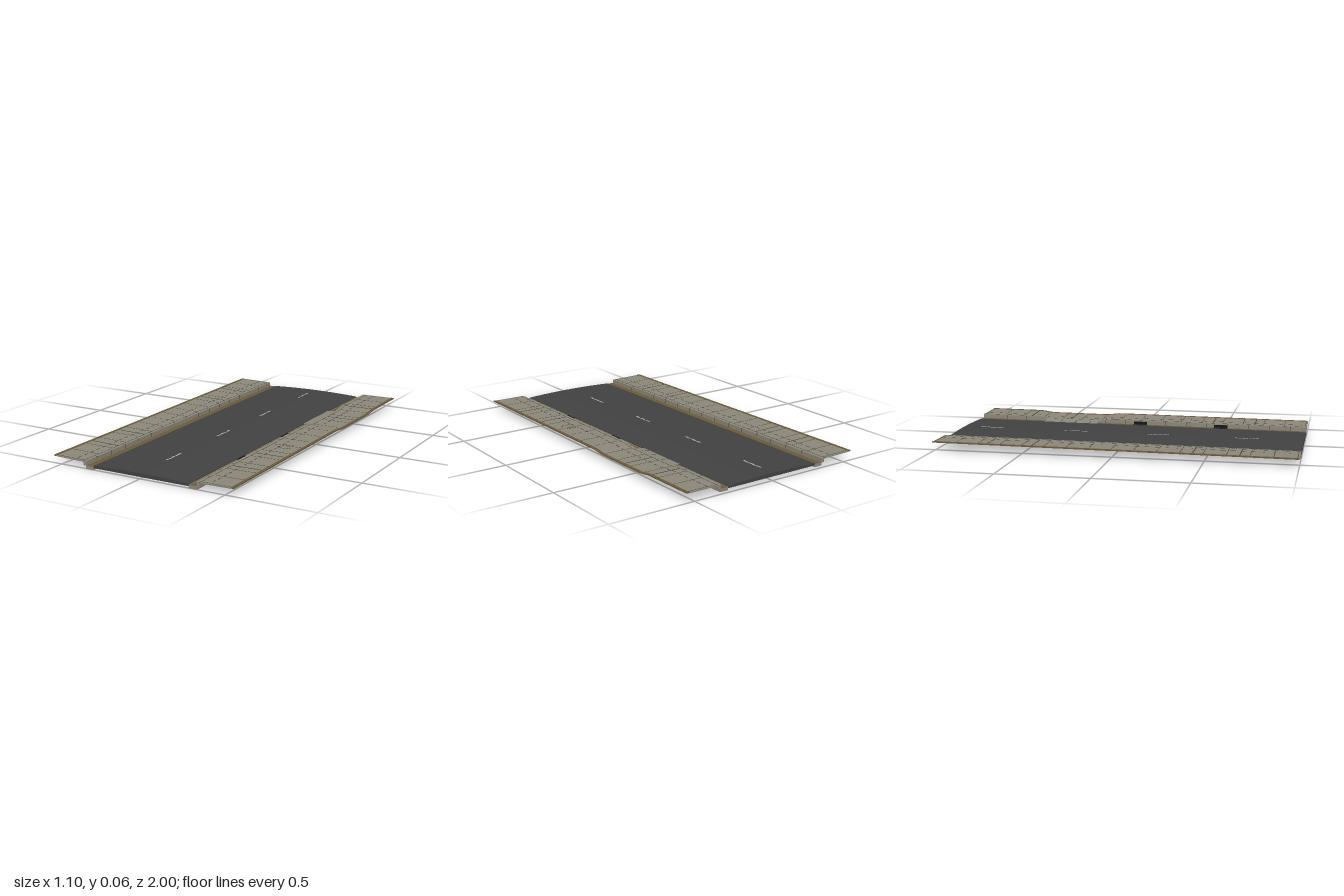
import * as THREE from 'three';

const mat = (name, color) => Object.assign(new THREE.MeshStandardMaterial({ color }), { name });

export function createModel() {
  const model = new THREE.Group();
  model.name = 'streetSection';
  const asphalt = mat('asphalt', 0x414142);
  const concrete = mat('concrete', 0x8b8679);
  const earth = mat('brownDirt', 0x6a5a3a);
  const joint = mat('jointGrey', 0x45423a);
  const iron = mat('grateBlack', 0x161616);
  const paint = mat('lanePaint', 0xaaa9a4);

  const CUT0 = -0.59, CUT1 = -0.26;   // driveway opening along z
  const smooth = THREE.MathUtils.smoothstep;
  const dip = z => 0.01 * smooth(z, CUT0 - 0.1, CUT0) * (1 - smooth(z, CUT1, CUT1 + 0.1));

  // Long grade, sidewalk cross fall, driveway dip and road crown
  function rise(x, y, z) {
    const a = Math.abs(x);
    let h = 0.006 * (1 - z);
    if (a > 0.355) h += 0.012 * (a - 0.355);
    if (x > 0.335 && y > 0.025) h -= dip(z);
    if (a < 0.292 && y > 0.015) h += 0.008 * (1 - (a / 0.292) ** 2);
    return h;
  }

  // Box between limits, bent to follow the street surface
  function block(parent, name, material, x0, x1, y0, y1, z0, z1, warp = rise) {
    const nx = Math.max(1, Math.ceil((x1 - x0) / 0.05));
    const nz = Math.max(1, Math.ceil((z1 - z0) / 0.025));
    const g = new THREE.BoxGeometry(x1 - x0, y1 - y0, z1 - z0, nx, 1, nz);
    g.translate((x0 + x1) / 2, (y0 + y1) / 2, (z0 + z1) / 2);
    const p = g.attributes.position;
    for (let i = 0; i < p.count; i++) {
      p.setY(i, p.getY(i) + warp(p.getX(i), p.getY(i), p.getZ(i)));
    }
    g.computeVertexNormals();
    const m = new THREE.Mesh(g, material);
    m.name = name;
    parent.add(m);
    return m;
  }

  // Same block on the side s (+1 or -1), given by distance from the centre line
  const sided = (parent, s, name, material, a0, a1, ...rest) =>
    block(parent, name, material, s > 0 ? a0 : -a1, s > 0 ? a1 : -a0, ...rest);

  // Crowned roadway
  block(model, 'roadway', asphalt, -0.292, 0.292, 0.01, 0.022, -1, 1);

  // Broken centre line made of worn dabs of paint
  const lane = new THREE.Group();
  lane.name = 'centreLine';
  model.add(lane);
  for (const z0 of [-0.9, -0.39, 0.1, 0.61]) {
    for (let i = 0; i < 7; i++) {
      const off = (i % 3 - 1) * 0.0015;
      block(lane, 'lanePaintDab', paint, -0.009 + off, 0.001 + off, 0.0218, 0.0226,
        z0 + i * 0.02, z0 + i * 0.02 + (i % 3 === 1 ? 0.014 : 0.018));
    }
  }

  for (const s of [1, -1]) {
    const side = new THREE.Group();
    side.name = s > 0 ? 'leftSide' : 'rightSide';
    model.add(side);
    const spans = s > 0 ? [[-1, CUT0], [CUT1, 1]] : [[-1, 1]];

    // Gutter, its dirty channel and the upright kerb, open at the driveway
    sided(side, s, 'gutter', concrete, 0.292, 0.342, 0, 0.018, -1, 1);
    for (const [z0, z1] of spans) {
      sided(side, s, 'gutterDirt', earth, 0.298, 0.335, 0.0178, 0.019, z0, z1);
      sided(side, s, 'kerb', concrete, 0.338, 0.357, 0.016, 0.041, z0, z1);
    }

    // Sidewalk slab and dirt verge
    sided(side, s, 'sidewalk', concrete, 0.357, 0.533, 0.035, 0.041, -1, 1);
    sided(side, s, 'verge', earth, 0.533, 0.55, 0.0365, 0.0425, -1, 1);

    // Slab joints, showing above and below
    const joints = new THREE.Group();
    joints.name = 'slabJoints';
    side.add(joints);
    for (let i = -8; i <= 8; i++) {
      const z = i * 0.125 * 0.99;
      const w = [3.5, 5.5].includes(Math.abs(i) - 0.0) ? 0.003 : 0.0016;
      if (Math.abs(i) !== 1) {
        sided(joints, s, 'crossJoint', joint, 0.358, 0.532, 0.0346, 0.0415, z - w, z + w);
        continue;
      }
      for (let k = 0; k < 4; k++) {   // worn joints near the middle
        sided(joints, s, 'brokenJoint', joint, 0.37 + k * 0.038, 0.396 + k * 0.038,
          0.0346, 0.0415, z - 0.002, z + 0.002);
      }
    }
    for (const z of [-0.69, -0.44, 0.44, 0.69]) {
      sided(joints, s, 'wideJoint', joint, 0.358, 0.532, 0.0346, 0.0416, z - 0.003, z + 0.003);
    }
    for (let i = 0; i < 38; i++) {
      const z = -0.985 + i * 0.052;
      sided(joints, s, 'longJoint', joint, 0.41, 0.415, 0.0346, 0.0415, z, z + 0.03);
    }
    sided(joints, s, 'kerbJoint', joint, 0.3565, 0.3595, 0.0346, 0.0415, -1, 1);
    for (let i = -7; i <= 7; i++) {
      const z = i * 0.125 + 0.03;
      if (s > 0 && z > CUT0 - 0.02 && z < CUT1 + 0.02) continue;
      sided(joints, s, 'kerbFaceJoint', joint, 0.3374, 0.3572, 0.0185, 0.0414, z - 0.0015, z + 0.0015);
    }
  }

  // Driveway apron rising from the road edge to the lowered sidewalk
  const drive = new THREE.Group();
  drive.name = 'driveway';
  model.add(drive);
  const ramp = (x, y, z) => 0.006 * (1 - z)
    + (y > 0.015 ? 0.009 * THREE.MathUtils.clamp((x - 0.292) / 0.065, 0, 1) : 0);
  block(drive, 'apron', concrete, 0.288, 0.358, 0.014, 0.0225, CUT0, CUT1, ramp);
  for (const z of [-0.49, -0.4, -0.31]) {
    block(drive, 'apronJoint', joint, 0.289, 0.335, 0.022, 0.0231, z - 0.002, z + 0.002, ramp);
  }

  // Barred storm drains in the left gutter
  for (const zc of [0, 0.49]) {
    const drain = new THREE.Group();
    drain.name = 'stormDrain';
    model.add(drain);
    for (let i = 0; i < 7; i++) {
      const z = zc - 0.036 + i * 0.012;
      block(drain, 'drainSlot', iron, 0.294, 0.336, 0.018, 0.0205, z - 0.0045, z + 0.0045);
    }
    block(drain, 'drainInlet', iron, 0.3368, 0.339, 0.02, 0.036, zc - 0.04, zc + 0.04);
  }

  // Utility cover outline in the left sidewalk
  const cover = new THREE.Group();
  cover.name = 'utilityCover';
  model.add(cover);
  for (const z of [0.232, 0.296]) {
    block(cover, 'coverEdge', joint, 0.41, 0.48, 0.0408, 0.0415, z - 0.002, z + 0.002);
  }
  for (const x of [0.41, 0.48]) {
    block(cover, 'coverEdge', joint, x - 0.002, x + 0.002, 0.0408, 0.0415, 0.27, 0.296);
  }
  block(cover, 'coverHandle', joint, 0.438, 0.456, 0.0408, 0.0415, 0.25, 0.254);

  return model;
}
